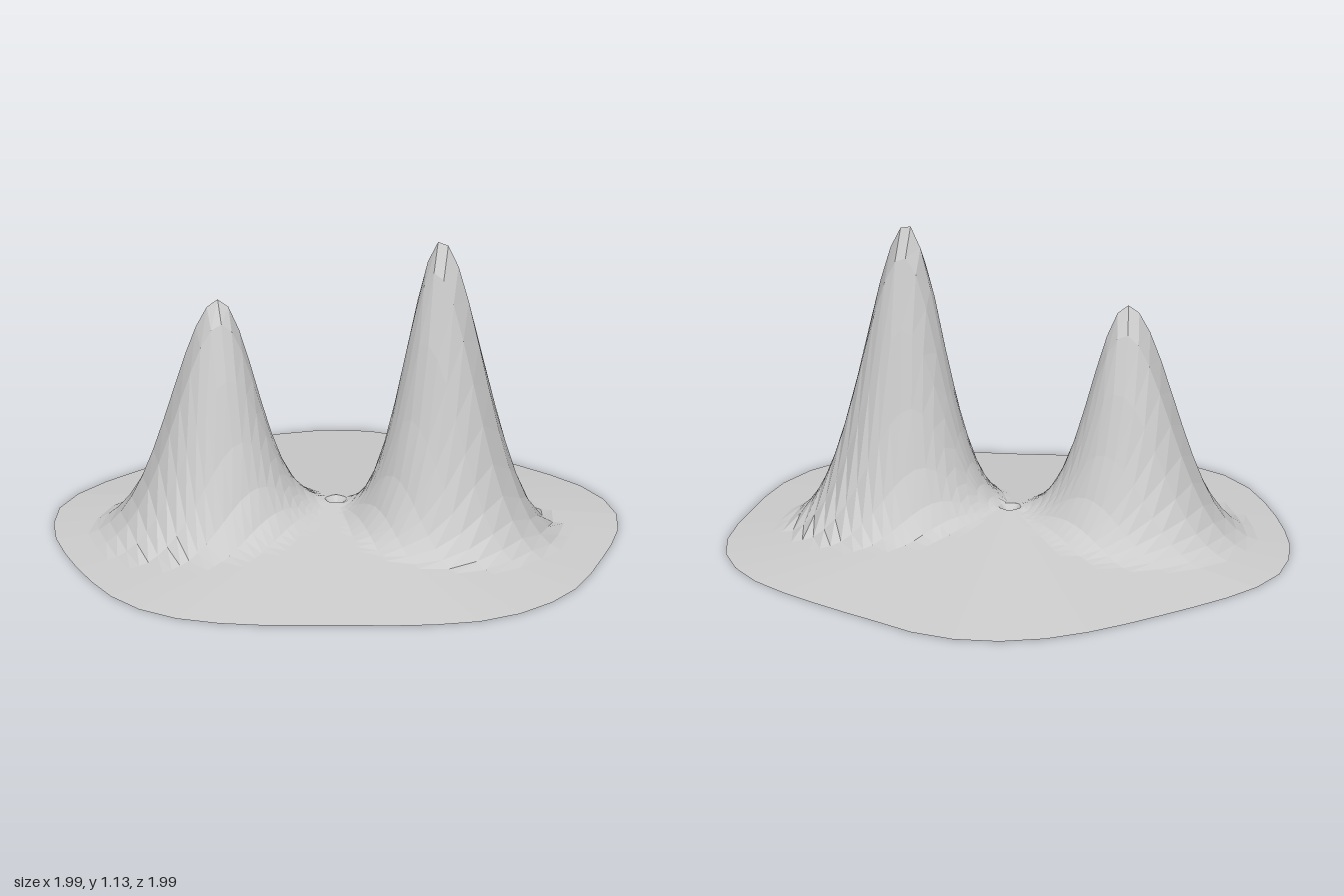
import * as THREE from 'three';

const SEGMENTS = 40, RINGS = 26, START = -0.29;
const CENTRE = new THREE.Vector2(-0.02, -0.03);

// Island shoreline as x, z pairs
const SHORE = [
  [0.99, 0.13], [0.98, -0.05], [0.925, -0.24], [0.85, -0.465], [0.785, -0.61], [0.69, -0.74],
  [0.565, -0.84], [0.425, -0.905], [0.27, -0.94], [0.08, -0.965], [-0.14, -0.985], [-0.33, -1],
  [-0.495, -0.965], [-0.635, -0.88], [-0.745, -0.755], [-0.82, -0.605], [-0.89, -0.4], [-0.945, -0.21],
  [-0.985, -0.04], [-1, 0.12], [-0.975, 0.28], [-0.905, 0.42], [-0.805, 0.555], [-0.61, 0.74],
  [-0.475, 0.845], [-0.33, 0.935], [-0.185, 0.985], [-0.02, 0.99], [0.135, 0.945], [0.295, 0.865],
  [0.455, 0.76], [0.63, 0.66], [0.78, 0.55], [0.895, 0.43], [0.965, 0.28],
];

const PEAKS = [
  { at: new THREE.Vector2(0.35, -0.14), height: 1.05, width: 1 },
  { at: new THREE.Vector2(-0.36, 0.21), height: 0.805, width: 1.06 },
];

// Shore points at even angles around the island centre
function shorePoints() {
  const curve = new THREE.CatmullRomCurve3(SHORE.map(([x, z]) => new THREE.Vector3(x, 0, z)), true);
  const samples = curve.getPoints(800).map((p) => new THREE.Vector2(p.x, p.z).sub(CENTRE));
  return Array.from({ length: SEGMENTS }, (_, j) => {
    const a = START + (j / SEGMENTS) * Math.PI * 2;
    const dir = new THREE.Vector2(Math.cos(a), Math.sin(a));
    const score = (p) => p.dot(dir) / p.length();
    const best = samples.reduce((m, p) => (score(p) > score(m) ? p : m));
    return dir.multiplyScalar(best.length());
  });
}

// Bell-shaped mountain, steeper on the side facing the island centre
function peakHeight(p, { at, height, width }) {
  const offset = p.clone().sub(at);
  const d = offset.length();
  const outward = at.clone().sub(CENTRE).normalize();
  const facing = d > 1e-4 ? offset.dot(outward) / d : 0;
  const s = (0.137 + 0.012 * facing) * width;
  return height * Math.max(0, (Math.exp(-d * d / (2 * s * s)) - 0.02) / 0.98);
}

// Rings of points from the centre to the shore, with heights by rule
function diskGeometry(shore, rings, heightAt, faceUp) {
  const pos = [CENTRE.x, heightAt(CENTRE, 0), CENTRE.y], index = [];
  const tri = (a, b, c) => (faceUp ? index.push(a, b, c) : index.push(a, c, b));
  for (let i = 1; i <= rings; i++) {
    for (let j = 0; j < SEGMENTS; j++) {
      const t = i / rings;
      const p = shore[j].clone().multiplyScalar(t).add(CENTRE);
      pos.push(p.x, heightAt(p, t), p.y);
      const k = (j + 1) % SEGMENTS;
      const outer = 1 + (i - 1) * SEGMENTS, inner = outer - SEGMENTS;
      if (i === 1) tri(0, outer + k, outer + j);
      else {
        tri(inner + j, inner + k, outer + j);
        tri(inner + k, outer + k, outer + j);
      }
    }
  }
  const geo = new THREE.BufferGeometry();
  geo.setAttribute('position', new THREE.Float32BufferAttribute(pos, 3));
  geo.setIndex(index);
  geo.computeVertexNormals();
  return geo;
}

export function createModel() {
  const group = new THREE.Group();
  group.name = 'twinPeakIsland';
  const material = new THREE.MeshStandardMaterial({ color: 0xcccccc, flatShading: true });
  const shore = shorePoints();

  // Low cone of ground with a small pit at its centre and two mountains
  const landHeight = (p, t) => {
    if (t === 0) return 0.09;
    return 0.137 * (1 - t) + PEAKS.reduce((sum, peak) => sum + peakHeight(p, peak), 0);
  };
  const land = new THREE.Mesh(diskGeometry(shore, RINGS, landHeight, true), material);
  land.name = 'land';

  // Flat underside
  const underside = new THREE.Mesh(diskGeometry(shore, 1, () => 0, false), material);
  underside.name = 'underside';

  group.add(land, underside);
  return group;
}
